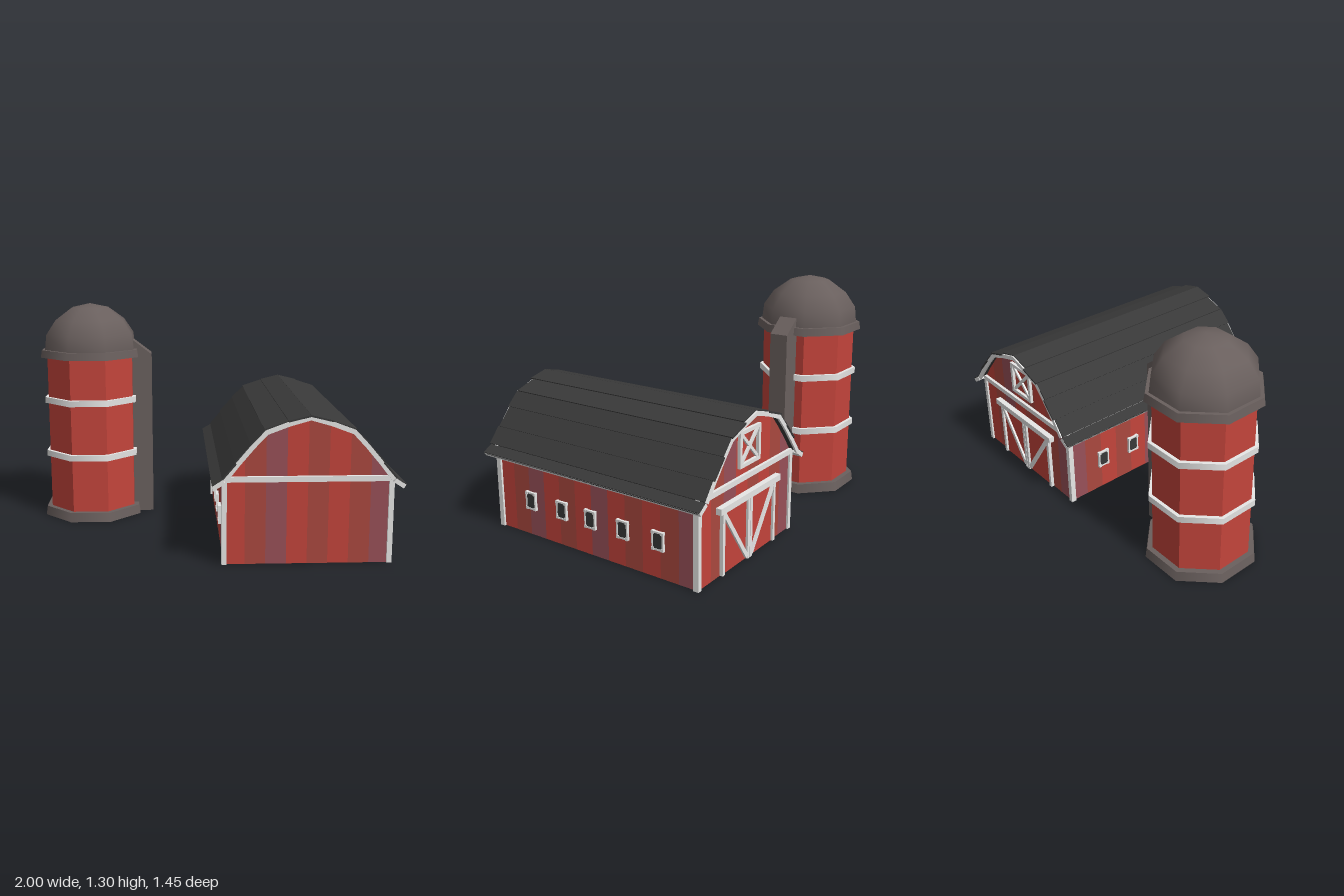
import * as THREE from 'three';

const mat = (name, color, both = false) => {
  const m = new THREE.MeshStandardMaterial({ color, side: both ? THREE.DoubleSide : THREE.FrontSide });
  m.name = name;
  return m;
};

export function createModel() {
  const red = mat('barn red', 0xc3443b, true);
  const darkRed = mat('dark red', 0xaa483f, true);
  const plum = mat('plum red', 0x985058, true);
  const trim = mat('pale trim', 0xe8e8e7);
  const slate = mat('roof slate', 0x393939);
  const stone = mat('dome brown grey', 0x6a605e);
  const grey = mat('ceiling grey', 0xc4c4c4, true);
  const planks = { R: red, D: darkRed, P: plum };

  const add = (parent, name, geo, material, x = 0, y = 0, z = 0) => {
    const m = new THREE.Mesh(geo, material);
    m.name = name;
    m.position.set(x, y, z);
    parent.add(m);
    return m;
  };
  const box = (parent, name, material, w, h, d, x, y, z) =>
    add(parent, name, new THREE.BoxGeometry(w, h, d), material, x, y, z);
  // Board running between two points in the xy plane
  const bar = (parent, name, material, [x1, y1], [x2, y2], w, d, z) => {
    const len = Math.hypot(x2 - x1, y2 - y1);
    const m = box(parent, name, material, len, w, d, (x1 + x2) / 2, (y1 + y2) / 2, z);
    m.rotation.z = Math.atan2(y2 - y1, x2 - x1);
    return m;
  };

  const model = new THREE.Group();
  model.name = 'farmBuildings';

  // ---------- Barn ----------
  const barn = new THREE.Group();
  barn.name = 'barn';
  barn.position.x = 0.495;
  model.add(barn);
  const WX = 0.438, WZ = 0.668;

  // Roof outline from the eave to the ridge: distance from the middle, height
  const roof = [[0.503, 0.441], [0.45, 0.476], [0.385, 0.56], [0.305, 0.655], [0.235, 0.73], [0.115, 0.775], [0, 0.808]];
  const roofY = (x) => {
    const a = Math.abs(x);
    for (let i = 1; i < roof.length; i++) {
      const [x0, y0] = roof[i - 1], [x1, y1] = roof[i];
      if (a >= x1) return y0 + (y1 - y0) * (x0 - a) / (x0 - x1);
    }
    return 0.808;
  };

  // Gable walls: planks cut to the roof line
  const gablePattern = 'RDPRDRDP';
  for (const s of [1, -1]) {
    const wall = new THREE.Group();
    wall.name = s > 0 ? 'frontWall' : 'backWall';
    const w = 2 * WX / gablePattern.length;
    [...gablePattern].forEach((c, i) => {
      const x0 = -WX + i * w, x1 = x0 + w;
      const xs = [x0, x1];
      for (const [rx] of roof) for (const k of [rx, -rx]) if (k > x0 && k < x1 && !xs.includes(k)) xs.push(k);
      xs.sort((a, b) => b - a);
      const pts = [[x0, 0], [x1, 0], ...xs.map((x) => [x, roofY(x) - 0.015])];
      const shape = new THREE.Shape(pts.map((p) => new THREE.Vector2(...p)));
      add(wall, 'gablePlank', new THREE.ShapeGeometry(shape), planks[c]);
    });
    wall.position.z = s * WZ;
    if (s < 0) wall.rotation.y = Math.PI;
    barn.add(wall);
    box(barn, 'gableBeam', trim, 0.9, 0.029, 0.022, 0, 0.462, s * 0.674);
  }

  // Side walls, windows, corner posts
  const sidePattern = 'RDPRDRPRDRDP';
  for (const s of [1, -1]) {
    const wall = new THREE.Group();
    wall.name = s > 0 ? 'leftWall' : 'rightWall';
    barn.add(wall);
    const w = 2 * WZ / sidePattern.length;
    [...sidePattern].forEach((c, i) => {
      const plank = add(wall, 'sidePlank', new THREE.PlaneGeometry(w, 0.46), planks[c], s * WX, 0.23, WZ - (i + 0.5) * w);
      plank.rotation.y = s * Math.PI / 2;
    });
    for (const z of [0.425, 0.2, 0, -0.215, -0.438]) {
      const win = new THREE.Group();
      win.name = 'window';
      win.position.set(s * 0.448, 0.205, z);
      wall.add(win);
      box(win, 'windowPane', slate, 0.008, 0.09, 0.06, 0, 0, 0);
      for (const k of [1, -1]) {
        box(win, 'windowRail', trim, 0.014, 0.009, 0.07, 0, k * 0.0455, 0);
        box(win, 'windowStile', trim, 0.014, 0.1, 0.009, 0, 0, k * 0.0315);
        for (const j of [1, -1]) box(win, 'windowCorner', trim, 0.018, 0.016, 0.016, 0, k * 0.043, j * 0.029);
      }
    }
    for (const e of [1, -1]) box(barn, 'cornerPost', trim, 0.027, 0.455, 0.03, s * 0.4365, 0.2275, e * 0.664);
  }
  const ceiling = add(barn, 'ceiling', new THREE.PlaneGeometry(2 * WX, 2 * WZ), grey, 0, 0.45, 0);
  ceiling.rotation.x = Math.PI / 2;

  // Lapped roof panels with staggered ends, dark underside, pale edge boards
  const shift = [0, 0.005, -0.006, 0, -0.007, 0.007];
  for (const s of [1, -1]) {
    for (let i = 0; i < roof.length - 1; i++) {
      const A = roof[i], B = roof[i + 1];
      const len = Math.hypot(B[0] - A[0], B[1] - A[1]);
      const nx = (B[1] - A[1]) / len, ny = (A[0] - B[0]) / len;
      const at = (p, d) => [s * (p[0] - nx * d), p[1] - ny * d];
      bar(barn, 'roofPanel', slate, at(A, 0.002), at(B, 0.007), i ? 0.009 : 0.005, 1.436, shift[i]);
      bar(barn, 'roofUnderside', slate, at(A, 0.013), at(B, 0.013), 0.008, 1.41, 0);
      for (const e of [1, -1])
        bar(barn, 'gableFascia', trim, at(A, 0.0175), at(B, 0.0175), 0.024, 0.012, e * 0.713);
      if (i === 0) bar(barn, 'eaveBoard', trim, at(A, 0.0165), at(B, 0.0165), 0.024, 1.43, 0);
    }
  }

  // Sliding doors on the back
  const doors = new THREE.Group();
  doors.name = 'barnDoors';
  barn.add(doors);
  for (const s of [1, -1]) {
    box(doors, 'doorPanel', red, 0.25, 0.34, 0.008, s * 0.127, 0.175, -0.673);
    box(doors, 'doorOuterStile', trim, 0.02, 0.34, 0.02, s * 0.245, 0.175, -0.68);
    box(doors, 'doorInnerStile', trim, 0.02, 0.34, 0.02, s * 0.0115, 0.175, -0.68);
    bar(doors, 'doorBrace', trim, [s * 0.235, 0.33], [s * 0.022, 0.02], 0.024, 0.018, -0.68);
  }
  box(doors, 'doorRail', trim, 0.575, 0.034, 0.032, 0, 0.36, -0.684);

  // Hay loft hatch above the doors
  const hatch = new THREE.Group();
  hatch.name = 'loftHatch';
  hatch.position.set(0, 0.615, -0.676);
  barn.add(hatch);
  for (const s of [1, -1]) {
    box(hatch, 'hatchStile', trim, 0.02, 0.19, 0.018, s * 0.088, 0, 0);
    box(hatch, 'hatchRail', trim, 0.194, 0.02, 0.018, 0, s * 0.087, 0);
    bar(hatch, 'hatchBrace', trim, [-0.085, -s * 0.085], [0.085, s * 0.085], 0.017, 0.012, 0);
  }

  // ---------- Silo ----------
  const silo = new THREE.Group();
  silo.name = 'silo';
  silo.position.set(-0.708, 0, -0.36);
  model.add(silo);
  // Eight-sided turning; radii are measured to the flat sides
  const octagon = (profile) =>
    new THREE.LatheGeometry(profile.map(([r, y]) => new THREE.Vector2(r / Math.cos(Math.PI / 8), y)), 8, Math.PI / 8);
  // Ring smooth around its girth, with sharp profile corners (doubled points)
  const ring = (name, material, rIn, rLow, rHigh, y0, y1) => {
    const corners = [[rIn, y0], [rLow, y0], [rHigh, y1], [rIn, y1], [rIn, y0]];
    const geo = octagon(corners.flatMap((p) => [p, p]).slice(1, -1));
    geo.normalizeNormals();
    add(silo, name, geo, material);
  };

  const body = octagon([[0.255, 0], [0.255, 1.02]]).toNonIndexed();
  body.computeVertexNormals();
  add(silo, 'siloWall', body, red);
  ring('siloBase', stone, 0.25, 0.292, 0.284, 0, 0.055);
  for (const y of [0.393, 0.725]) ring('siloBand', trim, 0.25, 0.274, 0.274, y - 0.018, y + 0.018);
  ring('domeRim', stone, 0.25, 0.292, 0.285, 0.985, 1.03);

  // Dome shaded as part of a ball
  const dome = octagon([[0.267, 1.025], [0.257, 1.12], [0.202, 1.207], [0.107, 1.28], [0, 1.305]]);
  dome.setAttribute('normal', dome.attributes.position.clone().applyMatrix4(new THREE.Matrix4().makeTranslation(0, -1.02, 0)));
  dome.normalizeNormals();
  add(silo, 'dome', dome, stone);

  // Unloading chute with a sloping top
  const chute = new THREE.Shape([[0.24, 0], [0.372, 0], [0.372, 0.997], [0.258, 1.085], [0.24, 1.085]].map((p) => new THREE.Vector2(...p)));
  add(silo, 'chute', new THREE.ExtrudeGeometry(chute, { depth: 0.11, bevelEnabled: false }), stone, 0, 0, -0.055);

  return model;
}
